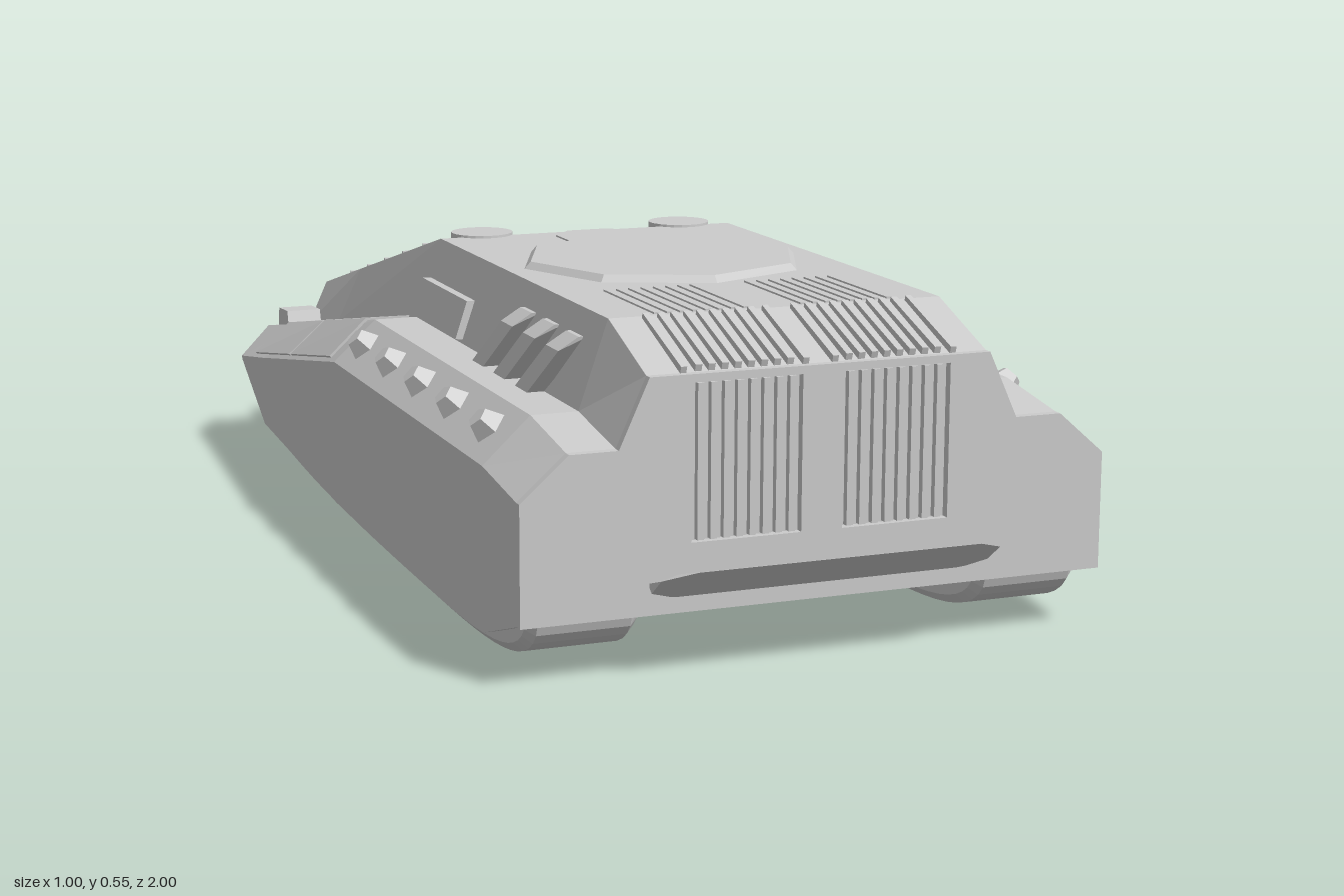
import * as THREE from 'three';
import { ConvexGeometry } from 'three/addons/geometries/ConvexGeometry.js';

const material = new THREE.MeshStandardMaterial({ color: 0xcccccc, flatShading: true });
const V = (x, y, z) => new THREE.Vector3(x, y, z);

// Half cross-section, from the lower side edge up to the roof edge: [x, y, z]
const section = (z, bottom, edge, shoulder, roof) => [
  [0.5, bottom, z], [0.5, edge, z], [0.42, shoulder, z], [0.34, shoulder, z], [0.29, roof, z],
];
const mirrored = (half) => [...half, ...half.slice().reverse().map(([x, y, z]) => [-x, y, z])];

// Skin between cross-sections ordered front to back, with capped ends
function loft(halves) {
  const rings = halves.map(mirrored);
  const n = rings[0].length;
  const pos = [];
  const tri = (...pts) => pts.forEach((p) => pos.push(...p));
  for (let k = 0; k < rings.length - 1; k++) {
    for (let i = 0; i < n; i++) {
      const j = (i + 1) % n;
      const a = rings[k][i], b = rings[k][j], c = rings[k + 1][j], d = rings[k + 1][i];
      tri(a, d, c);
      tri(a, c, b);
    }
  }
  const cap = (ring, flip) => {
    const flat = ring.map(([x, y]) => new THREE.Vector2(x, y));
    for (const [a, b, c] of THREE.ShapeUtils.triangulateShape(flat, [])) {
      if (flip) tri(ring[a], ring[c], ring[b]);
      else tri(ring[a], ring[b], ring[c]);
    }
  };
  cap(rings[0], false);
  cap(rings[rings.length - 1], true);
  const g = new THREE.BufferGeometry();
  g.setAttribute('position', new THREE.Float32BufferAttribute(pos, 3));
  g.computeVertexNormals();
  return g;
}

export function createModel() {
  const model = new THREE.Group();
  model.name = 'armouredHovercraft';
  const add = (name, geometry, parent = model) => {
    const m = new THREE.Mesh(geometry, material);
    m.name = name;
    parent.add(m);
    return m;
  };
  const group = (name) => {
    const g = new THREE.Group();
    g.name = name;
    model.add(g);
    return g;
  };
  // Convex solid repeated on both sides
  const pair = (name, pts, parent = model) => {
    for (const s of [1, -1]) {
      add((s > 0 ? 'left' : 'right') + name, new ConvexGeometry(pts.map(([x, y, z]) => V(s * x, y, z))), parent);
    }
  };
  // Thin bar between two points
  const bar = (name, a, b, w, h, parent) => {
    const m = add(name, new THREE.BoxGeometry(w, h, a.distanceTo(b)), parent);
    m.position.copy(a).lerp(b, 0.5);
    m.lookAt(b);
  };

  // Hull
  const nose = section(0.92, 0.1, 0.295, 0.365, 0.475);
  add('hull', loft([
    nose.map(([x, y]) => [x, y, 0.905]),
    section(0.74, 0.045, 0.315, 0.39, 0.535),
    section(-0.15, 0.045, 0.315, 0.39, 0.535),
    section(-0.72, 0.08, 0.218, 0.284, 0.391),
    [[0.5, 0.18, -0.91], [0.5, 0.187, -0.915], [0.43, 0.24, -0.96], [0.34, 0.24, -0.96], [0.29, 0.32, -1]],
  ]));

  // Front plate with two grille openings
  const plate = new THREE.Shape(mirrored(nose).map(([x, y]) => new THREE.Vector2(x, y)));
  for (const s of [1, -1]) {
    plate.holes.push(new THREE.Path([[0.035, 0.21], [0.22, 0.21], [0.22, 0.462], [0.035, 0.462]]
      .map(([x, y]) => new THREE.Vector2(s * x, y))));
  }
  add('frontPlate', new THREE.ExtrudeGeometry(plate, { depth: 0.015, bevelEnabled: false }).translate(0, 0, 0.905));

  // Grille slats on the front, the sloped brow and the deck
  const grille = group('grilleSlats');
  for (const s of [1, -1]) {
    for (let i = 0; i < 8; i++) {
      const x = s * (0.05 + i * 0.022);
      bar('frontSlat', V(x, 0.212, 0.908), V(x, 0.46, 0.908), 0.011, 0.018, grille);
      bar('browSlat', V(x, 0.481, 0.905), V(x, 0.535, 0.745), 0.011, 0.012, grille);
      bar('deckSlat', V(x, 0.535, 0.73), V(x, 0.535, 0.5), 0.009, 0.006, grille);
    }
    for (const x of [0.025, 0.23]) {
      bar('browFrame', V(s * x, 0.479, 0.908), V(s * x, 0.535, 0.745), 0.01, 0.014, grille);
    }
  }

  // Upswept front lip
  const lip = [];
  for (const s of [1, -1]) {
    lip.push(V(s * 0.24, 0.122, 0.915), V(s * 0.24, 0.185, 1), V(s * 0.24, 0.16, 0.915),
      V(s * 0.29, 0.138, 0.93), V(s * 0.29, 0.168, 0.97), V(s * 0.29, 0.15, 0.915));
  }
  add('frontLip', new ConvexGeometry(lip));

  // Tracks under the hull
  const trackShape = new THREE.Shape();
  trackShape.moveTo(0.88, 0.1);
  trackShape.lineTo(-0.84, 0.16);
  trackShape.bezierCurveTo(-0.84, 0.08, -0.76, 0.06, -0.65, 0.05);
  trackShape.bezierCurveTo(-0.35, 0.02, 0, 0.015, 0.45, 0.015);
  trackShape.bezierCurveTo(0.72, 0.015, 0.86, 0.035, 0.88, 0.1);
  const trackGeo = new THREE.ExtrudeGeometry(trackShape, {
    depth: 0.155, bevelThickness: 0.015, bevelSize: 0.015, bevelSegments: 1, curveSegments: 12,
  }).rotateY(-Math.PI / 2).translate(0.0775, 0, 0);
  for (const s of [1, -1]) add(s > 0 ? 'leftTrack' : 'rightTrack', trackGeo).position.x = s * 0.385;

  // Turret plate and round hatches on the roof
  add('roofPlate', new THREE.CylinderGeometry(0.245, 0.262, 0.018, 8)).position.set(0, 0.538, 0.235);
  for (const s of [1, -1]) {
    add('roundHatch', new THREE.CylinderGeometry(0.058, 0.06, 0.035, 24)).position.set(s * 0.2, 0.522, -0.18);
  }
  add('deckPanel', new ConvexGeometry([0.53, 0.538].flatMap((y) => [
    V(-0.08, y, 0), V(0.08, y, 0), V(0.08, y, -0.1), V(0.04, y, -0.145), V(-0.04, y, -0.145), V(-0.08, y, -0.1),
  ])));

  // Slanted exhausts on the upper walls
  const exhausts = group('exhausts');
  for (const z of [0.545, 0.43, 0.315]) {
    pair('Exhaust', [-0.03, 0.03].flatMap((d) => [
      [0.325, 0.389, z + d], [0.37, 0.389, z + d],
      [0.345, 0.472, z + d + 0.085], [0.312, 0.494, z + d + 0.09], [0.295, 0.494, z + d + 0.09],
    ]), exhausts);
  }

  // Raised panels on the upper walls
  pair('WallPanel', [-0.14, 0.13].flatMap((z) => [
    [0.33, 0.395, z], [0.351, 0.398, z], [0.329, 0.465, z], [0.305, 0.465, z],
  ]));

  // Faceted studs on the shoulder chamfer
  const studs = group('shoulderStuds');
  for (const z of [0.65, 0.465, 0.28, 0.1, -0.08]) {
    for (const s of [1, -1]) {
      const m = add('stud', new THREE.CylinderGeometry(0.019, 0.034, 0.034, 5), studs);
      m.position.set(s * 0.467, 0.362, z);
      m.rotation.z = -s * 0.8;
    }
  }

  // Armour plates along the falling rear shoulders
  const armour = group('rearArmour');
  const shoulderY = (z) => 0.39 + (z + 0.15) * 0.185;
  const edgeY = (z) => 0.322 + (z + 0.15) * 0.17;
  for (const [z0, z1] of [[-0.2, -0.505], [-0.515, -0.805]]) {
    pair('ArmourPlate', [z0, z1].flatMap((z) => [0, 0.007].flatMap((h) => [
      [0.335, shoulderY(z) + h - 0.003, z], [0.424, shoulderY(z) + h - 0.003, z], [0.492 + h / 2, edgeY(z) + h / 2, z],
    ])), armour);
  }

  // Rear lamp housings
  pair('LampHousing', [0.35, 0.42].flatMap((x) => [
    [x, 0.26, -0.82], [x, 0.292, -0.83], [x, 0.288, -0.9], [x, 0.24, -0.91],
  ]));

  // Small clamps along the edges of the sloped rear deck
  const clamps = group('deckClamps');
  for (const z of [-0.28, -0.42, -0.55, -0.68, -0.81]) {
    const y = 0.535 + (z + 0.15) * 0.253;
    for (const s of [1, -1]) {
      bar('clamp', V(s * 0.215, y, z + 0.005), V(s * 0.285, y, z - 0.005), 0.01, 0.008, clamps);
    }
  }

  return model;
}
